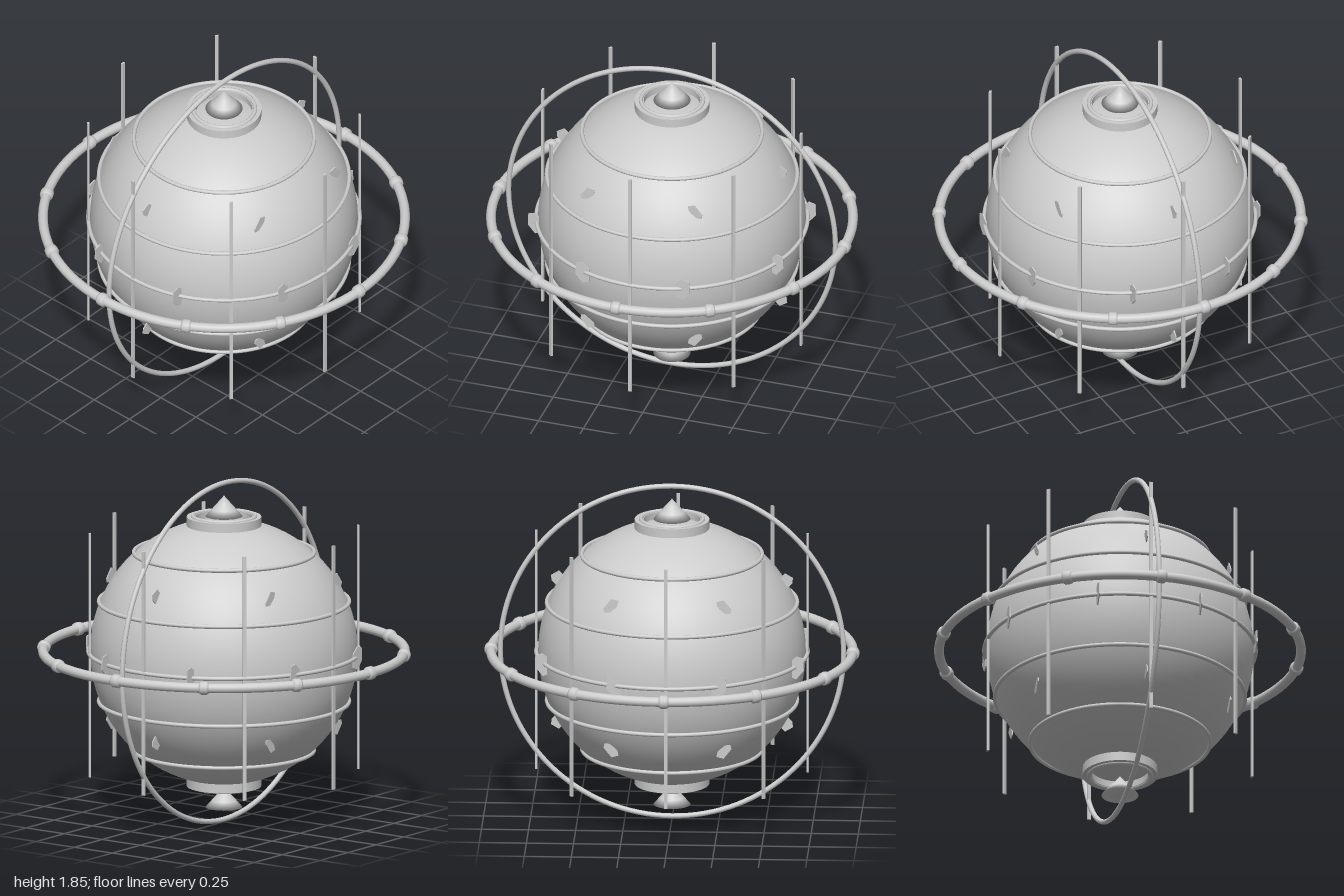
import * as THREE from 'three';
import { mergeVertices } from 'three/addons/utils/BufferGeometryUtils.js';

const MID = 0.93; // height of the equator
const R = 0.71;   // globe radius

export function createModel() {
  const model = new THREE.Group();
  const mat = new THREE.MeshStandardMaterial({ color: 0xcccccc });

  function add(name, geometry, x = 0, y = 0, z = 0, parent = model) {
    const mesh = new THREE.Mesh(geometry, mat);
    mesh.name = name;
    mesh.position.set(x, y, z);
    parent.add(mesh);
    return mesh;
  }
  const flatRing = (radius, tube, sides = 10) =>
    new THREE.TorusGeometry(radius, tube, sides, 96).rotateX(Math.PI / 2);

  add('globe', new THREE.SphereGeometry(R, 64, 48), 0, MID, 0);

  // Latitude bands hugging the globe
  for (const [dy, radius] of [[-0.535, 0.478], [-0.27, 0.664], [0, 0.72], [0.27, 0.664], [0.535, 0.478]]) {
    add('latitudeBand', flatRing(radius, 0.011), 0, MID + dy, 0);
  }

  // Upright hoop
  add('uprightHoop', new THREE.TorusGeometry(0.911, 0.014, 12, 128), 0, MID, 0);

  // Horizontal hoop with twelve collared joints
  const orbit = new THREE.Group();
  orbit.name = 'horizontalHoop';
  orbit.position.y = MID;
  model.add(orbit);
  add('hoopTube', flatRing(0.96, 0.026, 16), 0, 0, 0, orbit);
  const jointProfile = [[0.02, -0.026], [0.028, -0.026], [0.036, -0.015], [0.036, 0.015], [0.028, 0.026], [0.02, 0.026]]
    .map(([r, y]) => new THREE.Vector2(r, y));
  const jointGeo = new THREE.LatheGeometry(jointProfile, 16).rotateX(Math.PI / 2);
  for (let i = 0; i < 12; i++) {
    const a = (i * Math.PI) / 6;
    const joint = add('hoopJoint', jointGeo, 0.96 * Math.cos(a), 0, 0.96 * Math.sin(a), orbit);
    joint.rotation.y = -a;
  }

  // Eight vertical rods around the globe
  const rodGeo = new THREE.BoxGeometry(0.012, 1.32, 0.019);
  for (let i = 0; i < 8; i++) {
    const a = (i * Math.PI) / 4;
    add('verticalRod', rodGeo, 0.72 * Math.cos(a), MID, 0.72 * Math.sin(a)).rotation.y = -a;
  }

  // Pole collars: open ring with a thin raised lip
  const collarShape = new THREE.Shape();
  collarShape.absarc(0, 0, 0.198, 0, Math.PI * 2);
  const hole = new THREE.Path();
  hole.absarc(0, 0, 0.15, 0, Math.PI * 2, true);
  collarShape.holes.push(hole);
  const collarGeo = new THREE.ExtrudeGeometry(collarShape, { depth: 0.05, bevelEnabled: false, curveSegments: 48 })
    .rotateX(-Math.PI / 2);
  const lipGeo = flatRing(0.165, 0.011);
  for (const side of [1, -1]) {
    const pole = new THREE.Group();
    pole.name = side > 0 ? 'topCollar' : 'bottomCollar';
    pole.position.y = MID;
    if (side < 0) pole.rotation.x = Math.PI;
    model.add(pole);
    add('collarRing', collarGeo, 0, 0.68, 0, pole);
    add('collarLip', lipGeo, 0, 0.73, 0, pole);
  }

  // Spike on top and flared cone below, softly shaded across the rim
  let coneGeo = new THREE.ConeGeometry(0.098, 0.112, 40, 3);
  coneGeo.deleteAttribute('uv');
  coneGeo.deleteAttribute('normal');
  coneGeo = mergeVertices(coneGeo);
  coneGeo.computeVertexNormals();
  add('topSpike', coneGeo, 0, 1.717, 0);
  add('bottomCone', coneGeo, 0, 0.141, 0);

  // Thin angular plates in three rows, mirrored left to right
  const smallPlate = [[-0.043, 0.027], [-0.005, 0.037], [0.037, -0.016], [0.032, -0.037], [-0.005, -0.037], [-0.037, 0]];
  const endPlate = [[-0.037, 0.005], [-0.005, 0.037], [0.037, 0.012], [0.034, -0.018], [0.005, -0.045], [-0.028, -0.04]];
  const largePlate = [[-0.037, 0.027], [0, 0.06], [0.037, 0.05], [0.04, -0.016], [0, -0.065], [-0.037, -0.05]];
  function addPlate(points, a, radius, dy, flipY) {
    const x = radius * Math.cos(a), z = radius * Math.sin(a);
    const sx = Math.sign(x);
    const shape = new THREE.Shape(points.map(([px, py]) => new THREE.Vector2(px * sx, py * flipY)));
    const geo = new THREE.ExtrudeGeometry(shape, { depth: 0.006, bevelEnabled: false }).translate(0, 0, -0.003);
    add('surfacePlate', geo, x, MID + dy, z);
  }
  for (let i = 0; i < 6; i++) {
    const points = i % 3 === 0 ? endPlate : smallPlate;
    addPlate(points, (i * Math.PI) / 3, 0.605, 0.4, 1);
    addPlate(points, (i * Math.PI) / 3, 0.605, -0.4, -1);
  }
  for (let i = 0; i < 8; i++) addPlate(largePlate, ((i + 0.5) * Math.PI) / 4, 0.728, 0, 1);

  return model;
}
